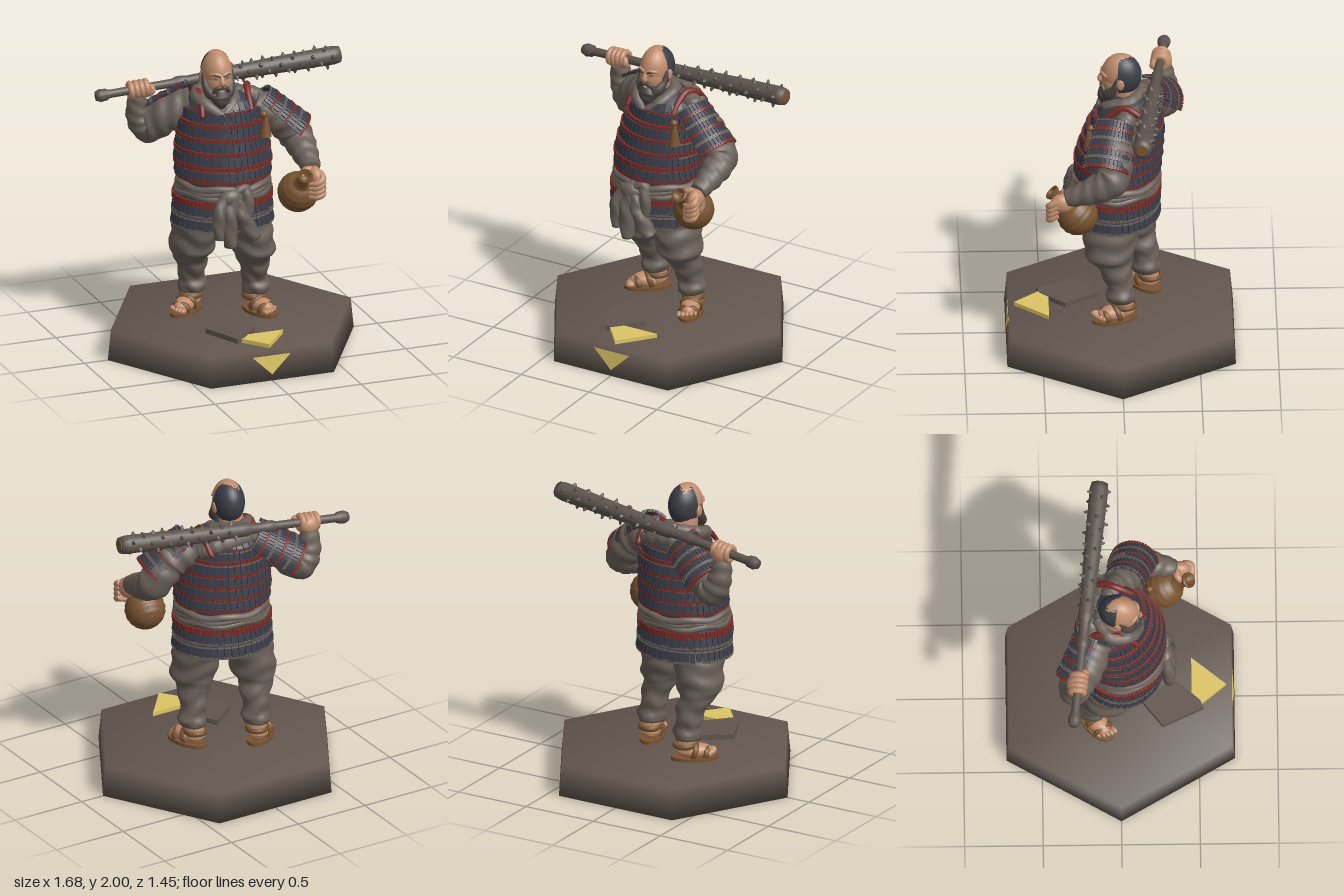
import * as THREE from 'three';
import { mergeGeometries, mergeVertices } from 'three/addons/utils/BufferGeometryUtils.js';

const V = (x, y, z) => new THREE.Vector3(x, y, z);
const lerp = THREE.MathUtils.lerp;
const colours = {
  base: 0x62564e, cloth: 0x6a6058, armour: 0x3b3d49, lacing: 0x7c2d27, skin: 0xc08d6c,
  gourd: 0x785330, gold: 0xdcc465, club: 0x5e544e, hair: 0x3b3d46, beard: 0x4d4642,
};

// Skin a list of point rings into one closed smooth surface
function skinRings(rings) {
  const n = rings[0].length, pos = [], idx = [];
  rings.forEach(r => r.forEach(p => pos.push(p.x, p.y, p.z)));
  for (let i = 0; i < rings.length - 1; i++) for (let j = 0; j < n; j++) {
    const a = i * n + j, b = i * n + (j + 1) % n;
    idx.push(a, b, a + n, b, b + n, a + n);
  }
  [0, rings.length - 1].forEach((k, end) => {
    const c = rings[k].reduce((s, p) => s.add(p), V(0, 0, 0)).divideScalar(n), ci = pos.length / 3;
    pos.push(c.x, c.y, c.z);
    for (let j = 0; j < n; j++) {
      const a = k * n + j, b = k * n + (j + 1) % n;
      idx.push(...(end ? [ci, a, b] : [ci, b, a]));
    }
  });
  const g = new THREE.BufferGeometry();
  g.setAttribute('position', new THREE.Float32BufferAttribute(pos, 3));
  g.setIndex(idx);
  g.computeVertexNormals();
  return g;
}

// Round limb along points [x, y, z, radius] with cloth folds
function limb(pts, fold = 0, waves = 40, seg = 14) {
  const curve = new THREE.CatmullRomCurve3(pts.map(p => V(p[0], p[1], p[2])));
  const steps = (pts.length - 1) * (fold ? 14 : 7), rings = [];
  let N = V(0.31, 0.2, 0.93);
  for (let i = 0; i <= steps; i++) {
    const u = i / steps, c = curve.getPoint(u), T = curve.getTangent(u);
    N = N.clone().addScaledVector(T, -N.dot(T)).normalize();
    const B = T.clone().cross(N), f = u * (pts.length - 1), k = Math.min(pts.length - 2, Math.floor(f));
    const r = lerp(pts[k][3], pts[k + 1][3], f - k);
    rings.push(Array.from({ length: seg }, (_, j) => {
      const a = j / seg * Math.PI * 2, q = r * (1 + fold * Math.sin(u * waves + 2 * Math.sin(a) + a));
      return c.clone().addScaledVector(N, q * Math.cos(a)).addScaledVector(B, q * Math.sin(a));
    }));
  }
  return skinRings(rings);
}

// Interpolated cross-section table: rows of [y, cx, cz, rx, rz, yaw]
function sectionAt(table, y) {
  let k = 0;
  while (k < table.length - 2 && y > table[k + 1][0]) k++;
  const a = table[k], b = table[k + 1], t = (y - a[0]) / (b[0] - a[0]);
  return a.map((v, i) => lerp(v, b[i], t));
}
function onSection(s, a, out = 0) {
  const [y, cx, cz, rx, rz, yaw] = s;
  const p = V((rx + out) * Math.sin(a), 0, (rz + out) * Math.cos(a)).applyAxisAngle(V(0, 1, 0), yaw);
  return p.add(V(cx, y, cz));
}
function loft(table, steps, fold = 0, seg = 36) {
  const y0 = table[0][0], y1 = table[table.length - 1][0];
  return skinRings(Array.from({ length: steps + 1 }, (_, i) => {
    const s = sectionAt(table, lerp(y0, y1, i / steps));
    return Array.from({ length: seg }, (_, j) => {
      const a = j / seg * Math.PI * 2;
      return onSection(s, a, fold * Math.sin(s[0] * 48 + 2.2 * Math.sin(a + 1) + Math.cos(3 * a)));
    });
  }));
}

// Row of overlapping plates following a cross-section
function plateRow(table, y, h, count, out, depth, a0 = 0, a1 = Math.PI * 2, tilt = -0.16) {
  const s = sectionAt(table, y), da = (a1 - a0) / count, list = [];
  for (let i = 0; i < count; i++) {
    const a = a0 + (i + 0.5) * da, p = onSection(s, a, out);
    const w = Math.hypot(s[3] * Math.cos(a), s[4] * Math.sin(a)) * da;
    const g = new THREE.BoxGeometry(w * 0.95, h * (1 + 0.1 * Math.sin(i * 2.4)), depth);
    g.rotateX(tilt).rotateY(Math.atan2(Math.sin(a) / s[3], Math.cos(a) / s[4]) + s[5]);
    list.push(g.translate(p.x, p.y, p.z));
  }
  return mergeGeometries(list);
}

export function createModel() {
  const model = new THREE.Group(), mats = {};
  for (const [name, color] of Object.entries(colours)) {
    mats[name] = new THREE.MeshStandardMaterial({ color });
    mats[name].name = name;
  }
  const add = (name, geo, mat, parent = model) => {
    const m = new THREE.Mesh(geo, mats[mat]);
    m.name = name;
    parent.add(m);
    return m;
  };
  const group = (name, x, y, z, yaw = 0) => {
    const g = new THREE.Group();
    g.name = name; g.position.set(x, y, z); g.rotation.y = yaw;
    model.add(g);
    return g;
  };
  const ball = (name, mat, p, s, parent) => {
    const m = add(name, new THREE.SphereGeometry(1, 24, 16), mat, parent);
    m.position.set(...p); m.scale.set(...s);
    return m;
  };
  const slab = (pts, depth) => new THREE.ExtrudeGeometry(
    new THREE.Shape(pts.map(p => new THREE.Vector2(...p))), { depth, bevelEnabled: false });

  // Hexagonal base, softly shaded across its edges, with markers and a loose flagstone
  let hex = new THREE.CylinderGeometry(0.82, 0.84, 0.2, 6).rotateY(Math.PI / 2).translate(0, 0.1, 0);
  hex.deleteAttribute('normal'); hex.deleteAttribute('uv');
  hex = mergeVertices(hex, 1e-3);
  hex.computeVertexNormals();
  add('base', hex, 'base');
  const frontMark = add('frontMarker', slab([[-0.13, 0.165], [0, 0.04], [0.13, 0.165]], 0.004), 'gold');
  frontMark.position.z = 0.7255; frontMark.rotation.x = -0.0866;
  const topMark = add('topMarker', slab([[-0.18, 0.455], [0.18, 0.455], [0, 0.675]], 0.03), 'gold');
  const stone = add('flagstone', slab([[-0.28, 0.27], [-0.1, 0.13], [0.03, 0.35], [0, 0.39], [-0.11, 0.51], [-0.16, 0.53]], 0.04), 'base');
  [topMark, stone].forEach((m, i) => { m.rotation.x = Math.PI / 2; m.position.y = 0.227 + i * 0.006; });

  // Baggy trousers: [y, cx, cz, rx, rz, yaw]
  add('rightTrouserLeg', loft([[0.34, -0.2, -0.17, 0.085, 0.085, 0], [0.38, -0.2, -0.17, 0.098, 0.092, 0],
    [0.42, -0.2, -0.17, 0.08, 0.08, 0], [0.55, -0.215, -0.14, 0.1, 0.105, 0], [0.61, -0.235, -0.1, 0.115, 0.125, 0],
    [0.65, -0.24, -0.08, 0.142, 0.157, 0], [0.8, -0.22, -0.06, 0.15, 0.18, 0], [1.0, -0.19, 0, 0.16, 0.19, 0]], 48, 0.006), 'cloth');
  add('leftTrouserLeg', loft([[0.34, 0.17, 0, 0.085, 0.085, 0], [0.38, 0.17, 0, 0.098, 0.092, 0],
    [0.42, 0.165, 0, 0.08, 0.08, 0], [0.55, 0.145, 0.03, 0.096, 0.105, 0], [0.61, 0.13, 0.06, 0.115, 0.13, 0],
    [0.65, 0.125, 0.07, 0.14, 0.157, 0], [0.8, 0.1, 0.06, 0.145, 0.18, 0], [1.0, 0.06, 0.02, 0.16, 0.19, 0]], 48, 0.006), 'cloth');
  ball('trouserSeat', 'cloth', [-0.06, 0.92, -0.01], [0.27, 0.14, 0.22]);

  // Sandalled feet
  [['rightFoot', -0.245, -0.155, -0.9, -1], ['leftFoot', 0.185, 0.035, 0.3, 1]].forEach(([name, x, z, yaw, side]) => {
    const f = group(name, x, 0.2, z, yaw);
    add('sole', new THREE.CylinderGeometry(1, 1, 0.022, 28).scale(0.078, 1, 0.152).translate(0, 0.011, 0), 'gourd', f);
    ball('instep', 'skin', [0, 0.055, 0], [0.062, 0.05, 0.115], f);
    add('ankle', limb([[0, 0.05, -0.07, 0.06], [0, 0.1, -0.06, 0.063], [0, 0.19, -0.05, 0.063]]), 'skin', f);
    for (let i = 0; i < 5; i++) ball('toe', 'skin', [side * (i * 0.025 - 0.05), 0.042, 0.118 - i * i * 0.0025], [0.016 - i * 0.0012, 0.018, 0.028], f);
    [[-0.065, 0.1, 0.066, 0.07, Math.PI / 2], [-0.01, 0.055, 0.066, 0.058, 0.3], [0.065, 0.04, 0.06, 0.046, 0.2]].forEach(([sz, sy, rx, ry, tilt]) => {
      const strap = add('strap', new THREE.TorusGeometry(1, 0.15, 8, 24), 'gourd', f);
      strap.scale.set(rx, ry, 0.12); strap.position.set(0, sy, sz); strap.rotation.x = tilt;
    });
  });

  // Torso twisting toward the right, clad in plate rows
  const torso = [[0.86, -0.065, 0.015, 0.31, 0.25, -0.15], [1.05, -0.065, 0.02, 0.295, 0.255, -0.2],
    [1.12, -0.06, 0.02, 0.275, 0.25, -0.25], [1.3, -0.06, 0.01, 0.293, 0.253, -0.4], [1.5, -0.05, -0.03, 0.265, 0.225, -0.45],
    [1.62, -0.045, -0.05, 0.225, 0.18, -0.45], [1.67, -0.05, -0.06, 0.185, 0.15, -0.45], [1.72, -0.07, -0.06, 0.11, 0.1, -0.4]];
  add('bodyUnderArmour', loft(torso, 40), 'armour');
  [0.86, 0.955, 1.19, 1.275, 1.36, 1.445, 1.53].forEach(b => {
    const skirt = b < 1;
    add('armourPlates', plateRow(torso, b + 0.05, 0.076, 44, 0.012, 0.018), 'armour');
    add('lowerBand', plateRow(torso, b + 0.008, skirt ? 0.016 : 0.032, 66, 0.016, 0.018, 0, Math.PI * 2, 0), skirt ? 'cloth' : 'lacing');
    add('clothEdging', plateRow(torso, b + 0.078, 0.011, 44, 0.016, 0.014), 'cloth');
  });
  add('skirtRedBand', plateRow(torso, 1.048, 0.04, 66, 0.02, 0.018, 0, Math.PI * 2, 0), 'lacing');
  add('chestLacing', plateRow(torso, 1.612, 0.022, 44, 0.01, 0.018), 'lacing');
  add('chestPlates', plateRow(torso, 1.645, 0.05, 30, 0.006, 0.016, 0, Math.PI * 2, -0.6), 'armour');

  // Sash, knot and hanging tails
  [1.09, 1.115, 1.14].forEach((y, k) => {
    const loop = Array.from({ length: 24 }, (_, i) => onSection(sectionAt(torso, y + 0.008 * Math.sin(i * 1.6 + k)), i / 24 * Math.PI * 2, 0.008));
    add('sash', new THREE.TubeGeometry(new THREE.CatmullRomCurve3(loop, true), 96, 0.025, 8, true), 'cloth');
  });
  ball('sashKnot', 'cloth', [-0.11, 1.1, 0.29], [0.075, 0.06, 0.05]);
  [[[-0.15, 1.13, 0.285, 0.03], [-0.2, 1.0, 0.31, 0.042], [-0.2, 0.84, 0.31, 0.035]],
    [[-0.1, 1.1, 0.295, 0.04], [-0.13, 0.98, 0.31, 0.05], [-0.12, 0.78, 0.305, 0.045]],
    [[-0.08, 1.1, 0.295, 0.035], [-0.04, 0.97, 0.31, 0.05], [0.04, 0.82, 0.3, 0.05]],
    [[-0.1, 1.12, 0.285, 0.03], [-0.02, 1.15, 0.28, 0.035], [0.0, 1.06, 0.29, 0.045], [-0.03, 0.86, 0.305, 0.03]]]
    .forEach(p => add('sashTail', limb(p, 0.08, 14), 'cloth'));

  // Collar, cloth at the shoulders, red straps and tassel
  [-1, 1].forEach(s => add('collar', limb([[-0.1, 1.73, -0.15, 0.035], [-0.1 + s * 0.11, 1.7, -0.06, 0.045],
    [-0.1 + s * 0.09, 1.66, 0.07, 0.042], [-0.1 - s * 0.01, 1.59, 0.14, 0.025]], 0.03), 'cloth'));
  add('shoulderCloth', limb([[0.06, 1.66, -0.08, 0.06], [0.16, 1.65, -0.03, 0.065], [0.22, 1.6, 0, 0.06]], 0.04), 'cloth');
  add('backCloth', limb([[0.18, 1.6, -0.1, 0.05], [0.07, 1.65, -0.17, 0.055], [-0.08, 1.67, -0.19, 0.055], [-0.2, 1.65, -0.17, 0.05]], 0.05), 'cloth');
  [[[0.1, 1.55, 0.15, 0.016], [0.1, 1.66, 0.07, 0.02], [0.12, 1.725, -0.03, 0.022], [0.15, 1.7, -0.1, 0.022], [0.15, 1.6, -0.21, 0.016]],
    [[-0.24, 1.6, 0.12, 0.014], [-0.225, 1.66, 0.07, 0.02], [-0.21, 1.72, -0.03, 0.022], [-0.2, 1.71, -0.14, 0.022], [-0.16, 1.6, -0.26, 0.016]]]
    .forEach(p => add('shoulderStrap', limb(p), 'lacing'));
  add('tassel', new THREE.CylinderGeometry(0.015, 0.04, 0.13, 12).translate(0.16, 1.52, 0.2), 'gourd');
  ball('tasselKnot', 'gourd', [0.15, 1.6, 0.19], [0.024, 0.024, 0.024]);

  // Sleeves
  add('leftSleeve', limb([[0.15, 1.6, -0.01, 0.1], [0.31, 1.52, 0.04, 0.12], [0.42, 1.38, 0.06, 0.11],
    [0.43, 1.3, 0.2, 0.085], [0.42, 1.245, 0.35, 0.056]], 0.045, 46), 'cloth');
  add('rightSleeve', limb([[-0.2, 1.61, -0.15, 0.11], [-0.35, 1.53, -0.22, 0.12], [-0.455, 1.44, -0.29, 0.108],
    [-0.515, 1.52, -0.3, 0.08], [-0.53, 1.66, -0.285, 0.056]], 0.045, 46), 'cloth');

  // Shoulder guards curved over the upper arms
  const guard = [[-0.36, 0, 0, 0.138, 0.13, 0], [0, 0, 0, 0.112, 0.1, 0]];
  [['leftShoulderGuard', V(0.17, 1.64, 0.03), V(0.41, 1.4, 0.1), V(0.65, 0.8, 0.2), 1.3],
    ['rightShoulderGuard', V(-0.17, 1.65, -0.16), V(-0.4, 1.48, -0.26), V(-0.15, 0.5, -0.75), 1.1]].forEach(([name, s, e, out, arc]) => {
    const g = group(name, s.x, s.y, s.z), Y = s.clone().sub(e).normalize();
    const Z = out.addScaledVector(Y, -out.dot(Y)).normalize();
    g.quaternion.setFromRotationMatrix(new THREE.Matrix4().makeBasis(Y.clone().cross(Z), Y, Z));
    for (let i = 0; i < 5; i++) {
      const y = -0.03 - i * 0.064;
      add('guardPlates', plateRow(guard, y, 0.056, 15, 0.012, 0.018, -arc, arc), 'armour', g);
      add('guardLacing', plateRow(guard, y - 0.033, 0.02, 22, 0.018, 0.016, -arc, arc, 0), i % 2 ? 'cloth' : 'lacing', g);
      add('guardEdging', plateRow(guard, y + 0.024, 0.009, 15, 0.015, 0.014, -arc, arc), 'cloth', g);
    }
  });

  // Studded club across the shoulders
  const A = V(-0.775, 1.683, -0.3), B = V(0.79, 1.815, -0.12), club = group('club', A.x, A.y, A.z);
  club.quaternion.setFromUnitVectors(V(0, 1, 0), B.clone().sub(A).normalize());
  const len = A.distanceTo(B);
  const profile = [[0, -0.03], [0.03, -0.03], [0.042, 0], [0.038, 0.04], [0.027, 0.06], [0.028, 0.48], [0.038, 0.5], [0.038, 0.54],
    [0.032, 0.57], [0.035, 0.66], [0.045, 0.68], [0.045, 0.72], [0.047, 0.85], [0.055, 1.2], [0.06, len - 0.04], [0.052, len], [0, len + 0.006]];
  add('shaft', new THREE.LatheGeometry(profile.map(p => new THREE.Vector2(...p)), 20), 'club', club);
  add('tipFace', new THREE.CylinderGeometry(0.036, 0.04, 0.008, 20).translate(0, len + 0.002, 0), 'gourd', club);
  for (let i = 0; i < 48; i++) {
    const y = 0.76 + i * (len - 0.8) / 48, r = lerp(0.044, 0.058, (y - 0.76) / 0.8), h = 0.032 + 0.008 * Math.sin(i * 1.7);
    add('stud', new THREE.CylinderGeometry(0.005, 0.019, h, 7).rotateX(Math.PI / 2).translate(0, y, r + 0.008).rotateY(i * 2.4), 'club', club);
  }
  // Right hand gripping the handle
  for (let i = 0; i < 4; i++) {
    const finger = add('rightFinger', new THREE.TorusGeometry(0.042, 0.021, 10, 24), 'skin', club);
    finger.rotation.x = Math.PI / 2; finger.position.y = 0.2 + i * 0.034;
  }
  ball('rightPalm', 'skin', [-0.525, 1.69, -0.29], [0.068, 0.062, 0.055]);
  add('rightThumb', limb([[-0.49, 1.67, -0.25, 0.022], [-0.45, 1.7, -0.22, 0.022], [-0.46, 1.74, -0.23, 0.016]]), 'skin');

  // Gourd with open neck, ringed like wound cord
  const gourd = group('gourd', 0.35, 1.08, 0.28);
  const gp = Array.from({ length: 33 }, (_, i) => {
    const a = i / 32 * 2.75;
    return new THREE.Vector2(Math.sin(a) * (0.13 + 0.002 * Math.sin(i * 1.6)), -0.13 * Math.cos(a));
  });
  [[0.034, 0.16], [0.036, 0.2], [0.05, 0.22], [0.05, 0.235], [0.034, 0.235], [0.025, 0.2], [0, 0.2]].forEach(p => gp.push(new THREE.Vector2(...p)));
  add('gourdBody', new THREE.LatheGeometry(gp, 28), 'gourd', gourd);
  gourd.quaternion.setFromUnitVectors(V(0, 1, 0), V(-0.06, 0.7, 0.7).normalize());
  // Left hand over the gourd
  ball('leftPalm', 'skin', [0.425, 1.21, 0.38], [0.048, 0.065, 0.075]);
  for (let i = 0; i < 4; i++) add('leftFinger', limb([[0.45, 1.24 - i * 0.033, 0.41, 0.023], [0.45, 1.21 - i * 0.033, 0.455, 0.023],
    [0.41, 1.185 - i * 0.03, 0.46, 0.021], [0.37, 1.175 - i * 0.028, 0.425, 0.015]]), 'skin');
  add('leftThumb', limb([[0.41, 1.25, 0.36, 0.025], [0.36, 1.25, 0.37, 0.023], [0.33, 1.22, 0.4, 0.016]]), 'skin');

  // Head with shaven crown, stern brow and full beard
  add('neck', limb([[-0.09, 1.62, -0.06, 0.09], [-0.1, 1.7, -0.04, 0.08], [-0.1, 1.8, -0.02, 0.08]]), 'skin');
  const head = group('head', -0.095, 1.84, 0, -0.08);
  ball('skull', 'skin', [0, 0.02, -0.01], [0.096, 0.14, 0.126], head);
  ball('face', 'skin', [0, -0.03, 0.03], [0.084, 0.1, 0.085], head);
  const hair = add('hair', new THREE.SphereGeometry(1, 28, 16, 0, Math.PI * 2, 0, 1.6).rotateX(-Math.PI / 2), 'hair', head);
  hair.scale.set(0.102, 0.141, 0.13); hair.position.set(0, 0.017, -0.012); hair.rotation.y = -0.16;
  add('nose', limb([[0, 0.03, 0.1, 0.012], [0, 0, 0.12, 0.015], [0, -0.022, 0.124, 0.019], [0, -0.032, 0.112, 0.014]]), 'skin', head);
  [-1, 1].forEach(s => {
    ball('ear', 'skin', [s * 0.1, -0.01, -0.01], [0.014, 0.038, 0.026], head);
    ball('eye', 'beard', [s * 0.036, 0.01, 0.104], [0.015, 0.005, 0.008], head);
    add('browRidge', limb([[s * 0.006, 0.026, 0.11, 0.013], [s * 0.04, 0.036, 0.104, 0.014], [s * 0.07, 0.03, 0.08, 0.008]]), 'skin', head);
    add('eyebrow', limb([[s * 0.012, 0.023, 0.119, 0.006], [s * 0.04, 0.035, 0.114, 0.007], [s * 0.068, 0.032, 0.088, 0.004]]), 'beard', head);
    add('moustache', limb([[0, -0.05, 0.118, 0.012], [s * 0.03, -0.058, 0.11, 0.015], [s * 0.055, -0.1, 0.09, 0.014]]), 'beard', head);
    add('sideBeard', limb([[s * 0.092, 0.03, 0.008, 0.012], [s * 0.085, -0.05, 0.03, 0.024], [s * 0.06, -0.1, 0.065, 0.038], [0, -0.13, 0.085, 0.042]]), 'beard', head);
  });
  add('beard', limb([[0, -0.09, 0.07, 0.052], [0, -0.13, 0.08, 0.064], [0, -0.17, 0.09, 0.05], [0, -0.215, 0.1, 0.012]], 0.04, 10), 'beard', head);
  ball('lip', 'skin', [0, -0.077, 0.118], [0.016, 0.005, 0.007], head);
  return model;
}
